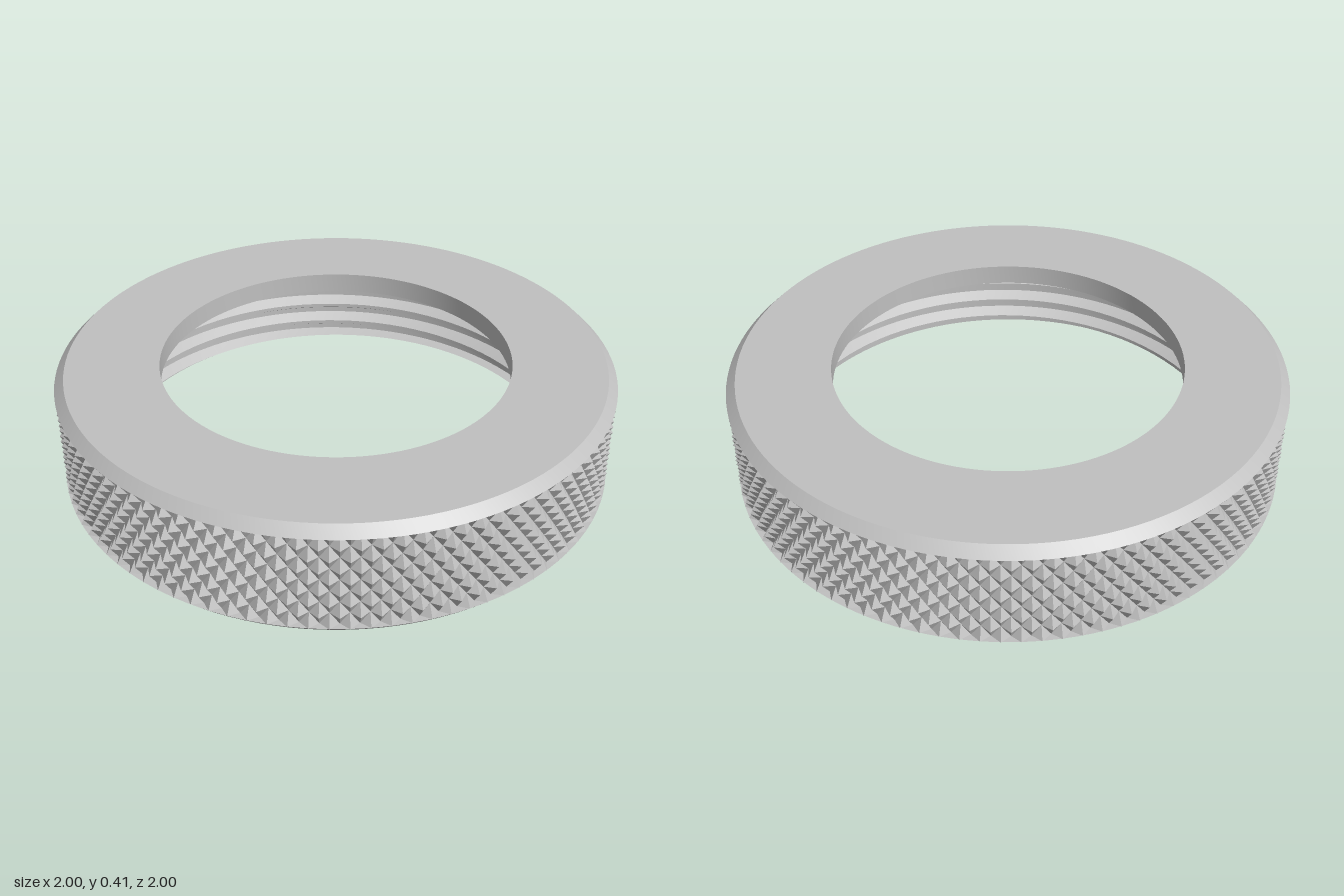
import * as THREE from 'three';
import { toCreasedNormals } from 'three/addons/utils/BufferGeometryUtils.js';

const HEIGHT = 0.41, HOLE_R = 0.63, BORE_R = 0.872, SHELF_Y = 0.335;
const KNURL = { y0: 0.02, y1: 0.375, tip: 1, valley: 0.972, count: 96, rows: 4 };
const THREAD = { pitch: 0.08, crestR: 0.832, segments: 96, turns: 5 };

// Turned blank: chamfered outside, stepped bore with a shelf under the top
function bodyGeometry() {
  const core = KNURL.valley - 0.008;
  const profile = [
    [BORE_R, 0], [0.98, 0], [0.998, KNURL.y0], [core, KNURL.y0],
    [core, KNURL.y1], [1, KNURL.y1], [0.965, HEIGHT], [HOLE_R, HEIGHT],
    [HOLE_R, SHELF_Y], [BORE_R, SHELF_Y], [BORE_R, 0],
  ].map(([r, y]) => new THREE.Vector2(r, y));
  return toCreasedNormals(new THREE.LatheGeometry(profile, 128), 0.5);
}

// Staggered rows of four-sided pyramids; the end rows are cut in half
function knurlGeometry() {
  const { y0, y1, tip, valley, count, rows } = KNURL;
  const halfRow = (y1 - y0) / (rows * 2);
  const pos = [];
  const point = (r, u, v) => {
    const t = (u / count) * Math.PI * 2;
    return [r * Math.sin(t), y0 + v * halfRow, r * Math.cos(t)];
  };
  for (let j = 0; j <= rows * 2; j++) {
    for (let i = 0; i < count; i++) {
      const u = i + (j % 2) / 2;
      const peak = point(tip, u, j);
      const right = point(valley, u + 0.5, j);
      const left = point(valley, u - 0.5, j);
      if (j < rows * 2) {
        const top = point(valley, u, j + 1);
        pos.push(...peak, ...right, ...top, ...peak, ...top, ...left);
      }
      if (j > 0) {
        const bottom = point(valley, u, j - 1);
        pos.push(...peak, ...left, ...bottom, ...peak, ...bottom, ...right);
      }
    }
  }
  const geo = new THREE.BufferGeometry();
  geo.setAttribute('position', new THREE.Float32BufferAttribute(pos, 3));
  geo.computeVertexNormals();
  return geo;
}

// Right-handed helical ridge of trapezoid section, run out flush at both ends
function threadGeometry() {
  const { pitch, crestR, segments, turns } = THREAD;
  const section = [[BORE_R, -0.03], [crestR, -0.007], [crestR, 0.007], [BORE_R, 0.03]];
  const pos = [], index = [], n = section.length;
  for (let k = 0; k <= segments * turns; k++) {
    const t = (k / segments) * Math.PI * 2;
    for (const [r, dy] of section) {
      const y = THREE.MathUtils.clamp((k / segments) * pitch - 0.02 + dy, 0.015, SHELF_Y);
      pos.push(r * Math.cos(t), y, -r * Math.sin(t));
    }
    if (k === segments * turns) break;
    for (let s = 0; s < n - 1; s++) {
      const a = k * n + s, b = a + n;
      index.push(b, a, a + 1, b, a + 1, b + 1);
    }
  }
  const geo = new THREE.BufferGeometry();
  geo.setAttribute('position', new THREE.Float32BufferAttribute(pos, 3));
  geo.setIndex(index);
  return toCreasedNormals(geo, 0.4);
}

export function createModel() {
  const steel = new THREE.MeshStandardMaterial({ color: 0xc0c0c0 });
  steel.name = 'steel';
  const group = new THREE.Group();
  group.name = 'knurledRingNut';
  const add = (name, geometry) => {
    const mesh = new THREE.Mesh(geometry, steel);
    mesh.name = name;
    group.add(mesh);
  };
  add('ringBody', bodyGeometry());
  add('knurledGrip', knurlGeometry());
  add('internalThread', threadGeometry());
  return group;
}
